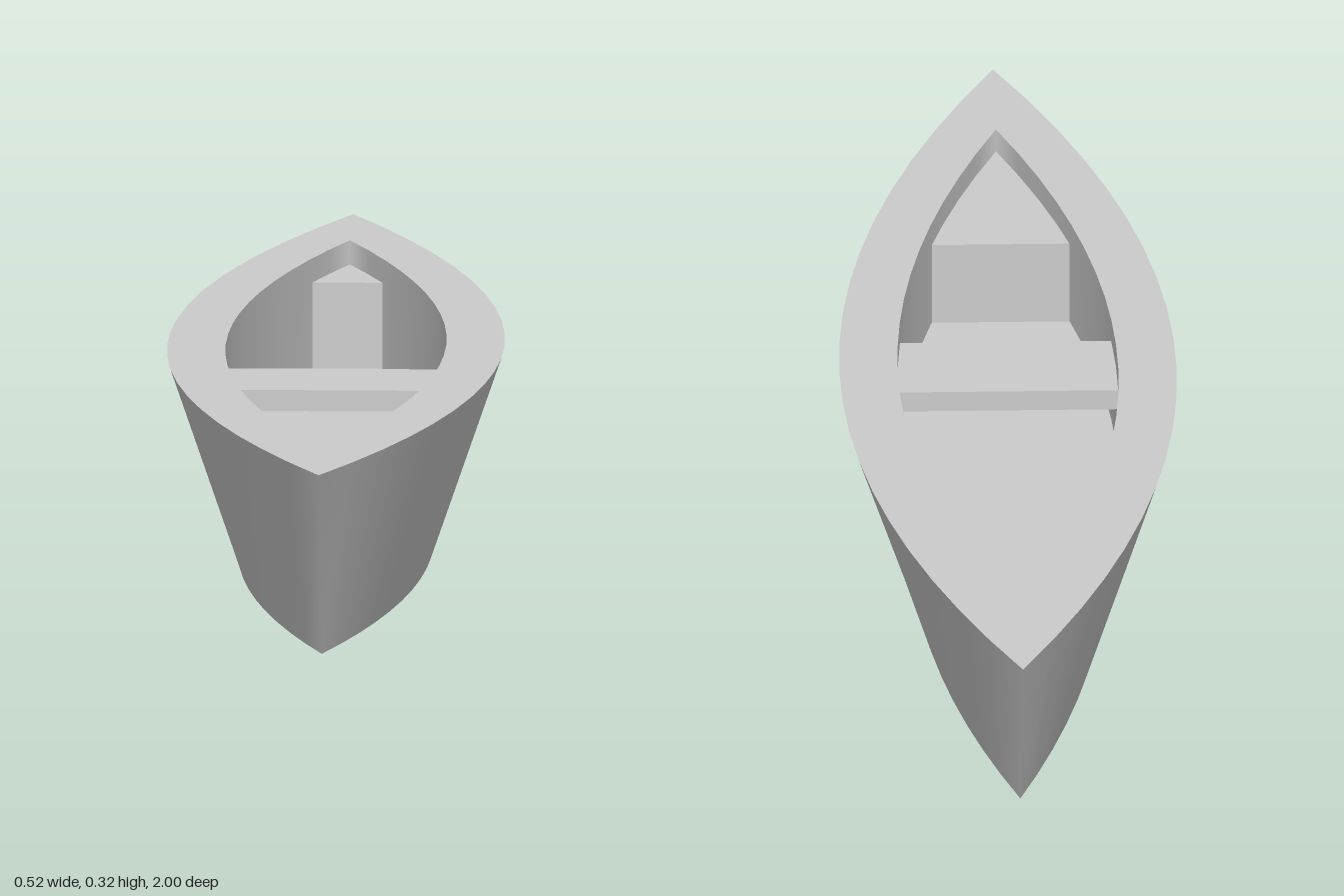
import * as THREE from 'three';

const HEIGHT = 0.318, FLOOR = 0.145, SEAT = 0.28;
const SEGMENTS = 20;
const material = new THREE.MeshStandardMaterial({ color: 0xcccccc });

// Half width of a pointed lens outline at position z
const halfWidth = (w, l, z) => w * (1 - (z / l) ** 2);

// Closed outline as [x, z] pairs, counterclockwise seen from above
function lens(w, l) {
  const points = [];
  for (const side of [1, -1]) {
    for (let i = 0; i < SEGMENTS; i++) {
      const z = side * l * (1 - (2 * i) / SEGMENTS);
      points.push([side * halfWidth(w, l, z), z]);
    }
  }
  return points;
}

// Smooth wall between a lower and an upper outline
function wall(lower, y0, upper, y1) {
  const n = lower.length, index = [];
  const positions = [
    ...lower.flatMap(([x, z]) => [x, y0, z]),
    ...upper.flatMap(([x, z]) => [x, y1, z]),
  ];
  for (let i = 0; i < n; i++) {
    const j = (i + 1) % n;
    index.push(i, j, n + j, i, n + j, n + i);
  }
  const geometry = new THREE.BufferGeometry();
  geometry.setAttribute('position', new THREE.Float32BufferAttribute(positions, 3));
  geometry.setIndex(index);
  geometry.computeVertexNormals();
  return geometry;
}

const toShape = (outline) =>
  new THREE.Shape(outline.map(([x, z]) => new THREE.Vector2(x, -z)));

// Flat horizontal face filling an outline
function cap(shape, y, down = false) {
  const geometry = new THREE.ShapeGeometry(shape);
  if (down) geometry.rotateX(Math.PI / 2).scale(1, 1, 1);
  else geometry.rotateX(-Math.PI / 2);
  return geometry.translate(0, y, 0);
}

// Board or block that follows the inner walls between two z positions
function fitted(z0, z1, y0, y1) {
  const steps = 8, right = [], left = [];
  for (let i = 0; i <= steps; i++) {
    const z = z1 + ((z0 - z1) * i) / steps;
    const x = halfWidth(0.17, 0.8, z);
    if (x > 1e-6) {
      right.push([x, z]);
      left.unshift([-x, z]);
    } else right.push([0, z]);
  }
  return new THREE.ExtrudeGeometry(toShape([...right, ...left]), {
    depth: y1 - y0, bevelEnabled: false,
  }).rotateX(-Math.PI / 2).translate(0, y0, 0);
}

export function createModel() {
  const boat = new THREE.Group();
  boat.name = 'rowingBoat';
  const add = (name, geometry) => {
    const mesh = new THREE.Mesh(geometry, material);
    mesh.name = name;
    boat.add(mesh);
  };

  const gunwale = lens(0.26, 1), keel = lens(0.15, 0.82), opening = lens(0.17, 0.8);
  const inward = [...opening].reverse();

  // Hull: flared outside, upright inside
  add('outerHull', wall(keel, 0, gunwale, HEIGHT));
  add('innerHull', wall(inward, FLOOR, inward, HEIGHT));
  add('hullBottom', cap(toShape(keel), 0, true));
  add('floor', cap(toShape(opening), FLOOR));

  // Flat rim around the opening
  const rim = toShape(gunwale);
  rim.holes.push(toShape(opening));
  add('rim', cap(rim, HEIGHT));

  // Crossing bench and solid seats at both ends
  add('bench', fitted(0, 0.165, SEAT - 0.033, SEAT));
  add('frontSeat', fitted(0.49, 0.8, FLOOR, SEAT));
  add('backSeat', fitted(-0.8, -0.66, FLOOR, SEAT));

  return boat;
}
